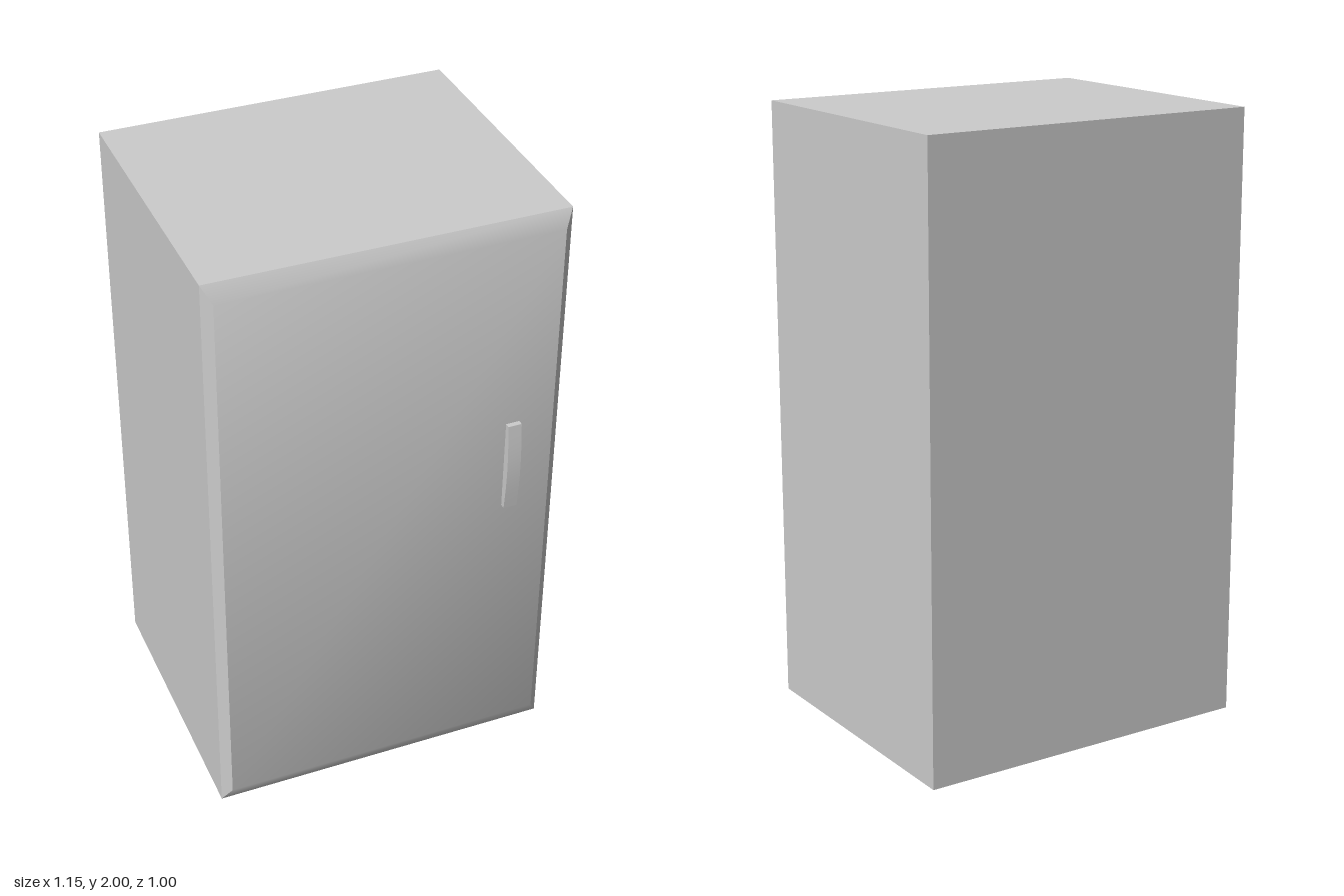
import * as THREE from 'three';
import { toCreasedNormals } from 'three/addons/utils/BufferGeometryUtils.js';

const W = 0.573, H = 2, BACK = -0.5, SEAM = 0.445, FRONT = 0.473;

// Flat panels from four-cornered faces, corners counter-clockwise from outside
function quads(faces) {
  const pos = [];
  for (const [a, b, c, d] of faces) pos.push(...a, ...b, ...c, ...a, ...c, ...d);
  const g = new THREE.BufferGeometry();
  g.setAttribute('position', new THREE.Float32BufferAttribute(pos, 3));
  return g;
}

// Rectangle ring at depth z, inset from the cabinet outline
const ring = (z, ix, iy) => [
  [-W + ix, iy, z], [W - ix, iy, z], [W - ix, H - iy, z], [-W + ix, H - iy, z],
];

export function createModel() {
  const model = new THREE.Group();
  const grey = new THREE.MeshStandardMaterial({ color: 0xcccccc });
  grey.name = 'light grey';
  const add = (name, geometry) => {
    const mesh = new THREE.Mesh(geometry, grey);
    mesh.name = name;
    model.add(mesh);
    return mesh;
  };

  // Cabinet body
  add('cabinet', new THREE.BoxGeometry(2 * W, H, SEAM - BACK))
    .position.set(0, H / 2, (SEAM + BACK) / 2);

  // Door: bevelled front, softly shaded over the top and bottom, crisp at the sides
  const outer = ring(SEAM, 0, 0), inner = ring(FRONT, 0.03, 0.055);
  const faces = [inner];
  for (let i = 0; i < 4; i++) {
    const j = (i + 1) % 4;
    faces.push([outer[i], outer[j], inner[j], inner[i]]);
  }
  add('door', toCreasedNormals(quads(faces), Math.PI / 6));

  // Handle: bowed bar, drawn in side profile and extruded across its width
  const y0 = 0.975, y1 = 1.29, end = 0.49, steps = 8;
  const profile = new THREE.Shape();
  profile.moveTo(-FRONT, y0);
  for (let i = 0; i <= steps; i++) {
    const t = i / steps;
    profile.lineTo(-(end + 0.01 * Math.sin(Math.PI * t)), y0 + (y1 - y0) * t);
  }
  profile.lineTo(-FRONT, y1);
  const bar = new THREE.ExtrudeGeometry(profile, { depth: 0.045, bevelEnabled: false });
  bar.rotateY(Math.PI / 2);
  bar.translate(0.383, 0, 0);
  add('handle', toCreasedNormals(bar, Math.PI / 6));

  return model;
}
